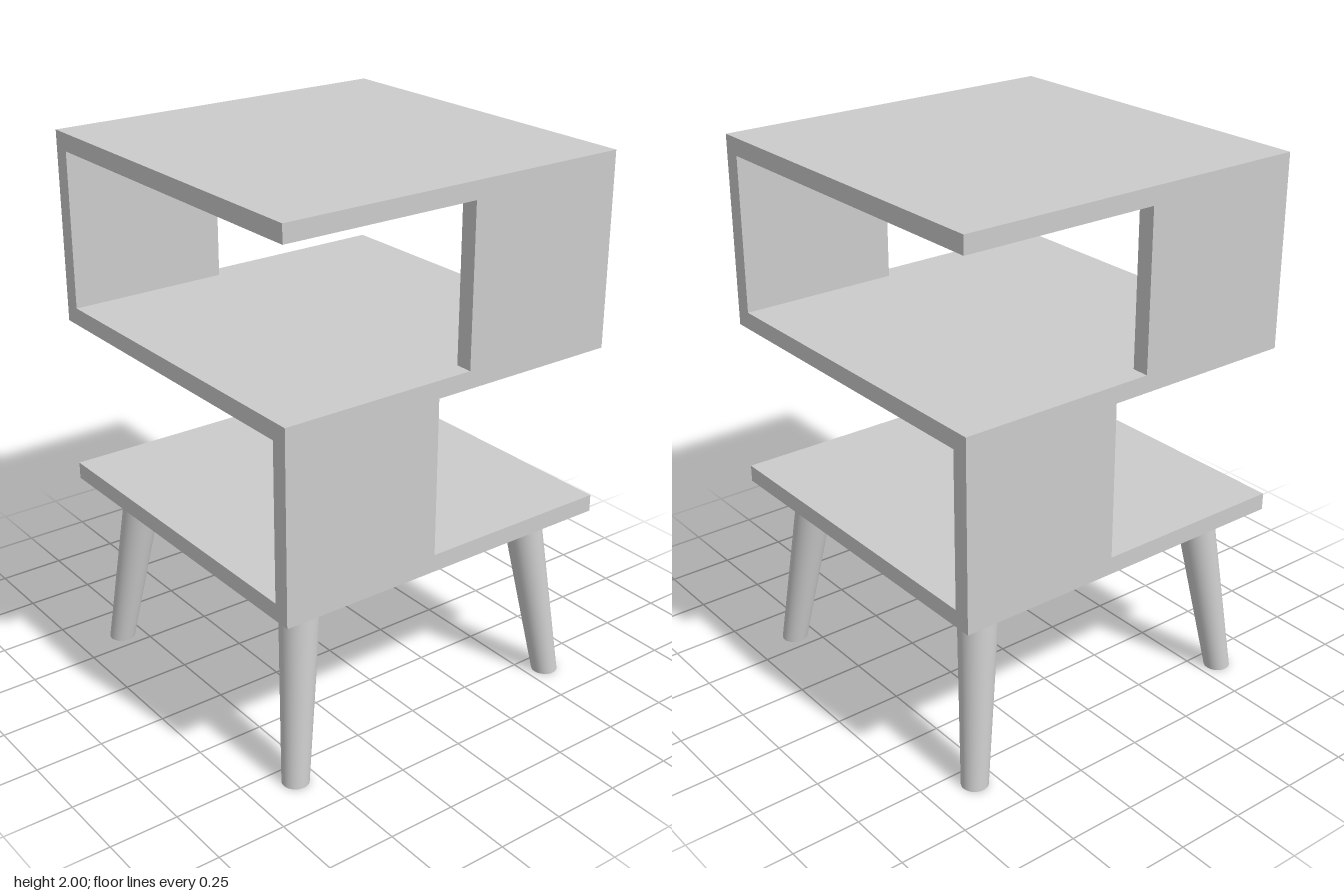
import * as THREE from 'three';

const HALF = 0.667; // half width of the square boards
const T = 0.063; // board thickness
const GAP = 0.568; // clear height of each tier
const LEG_H = 0.675;
const PANEL_W = 0.603;

export function createModel() {
  const group = new THREE.Group();
  const material = new THREE.MeshStandardMaterial({ color: 0xcccccc });

  const add = (name, geometry, x, y, z) => {
    const mesh = new THREE.Mesh(geometry, material);
    mesh.name = name;
    mesh.position.set(x, y, z);
    group.add(mesh);
  };

  // Three square boards
  const board = new THREE.BoxGeometry(HALF * 2, T, HALF * 2);
  ['bottomBoard', 'middleShelf', 'topBoard'].forEach((name, i) => {
    add(name, board, 0, LEG_H + T / 2 + i * (T + GAP), 0);
  });

  // Upright panels: diagonal pairs, swapped from one tier to the next
  const panel = new THREE.BoxGeometry(PANEL_W, GAP, T);
  ['lower', 'upper'].forEach((tier, i) => {
    const y = LEG_H + T + GAP / 2 + i * (T + GAP);
    const side = i === 0 ? -1 : 1; // x side of the front panel
    const x = side * (HALF - PANEL_W / 2);
    const z = HALF - T / 2;
    add(tier + 'FrontPanel', panel, x, y, z);
    add(tier + 'BackPanel', panel, -x, y, -z);
  });

  // Tapered legs splayed outwards, with level ends
  const TOP = 0.492, FOOT = 0.578;
  for (const sx of [-1, 1]) {
    for (const sz of [-1, 1]) {
      const leg = new THREE.CylinderGeometry(0.072, 0.048, LEG_H, 32);
      const slope = (TOP - FOOT) / LEG_H;
      leg.applyMatrix4(new THREE.Matrix4().set(
        1, sx * slope, 0, 0,
        0, 1, 0, 0,
        0, sz * slope, 1, 0,
        0, 0, 0, 1,
      ));
      const mid = (TOP + FOOT) / 2;
      const name = (sz > 0 ? 'front' : 'back') + (sx > 0 ? 'Left' : 'Right') + 'Leg';
      add(name, leg, sx * mid, LEG_H / 2, sz * mid);
    }
  }
  return group;
}
